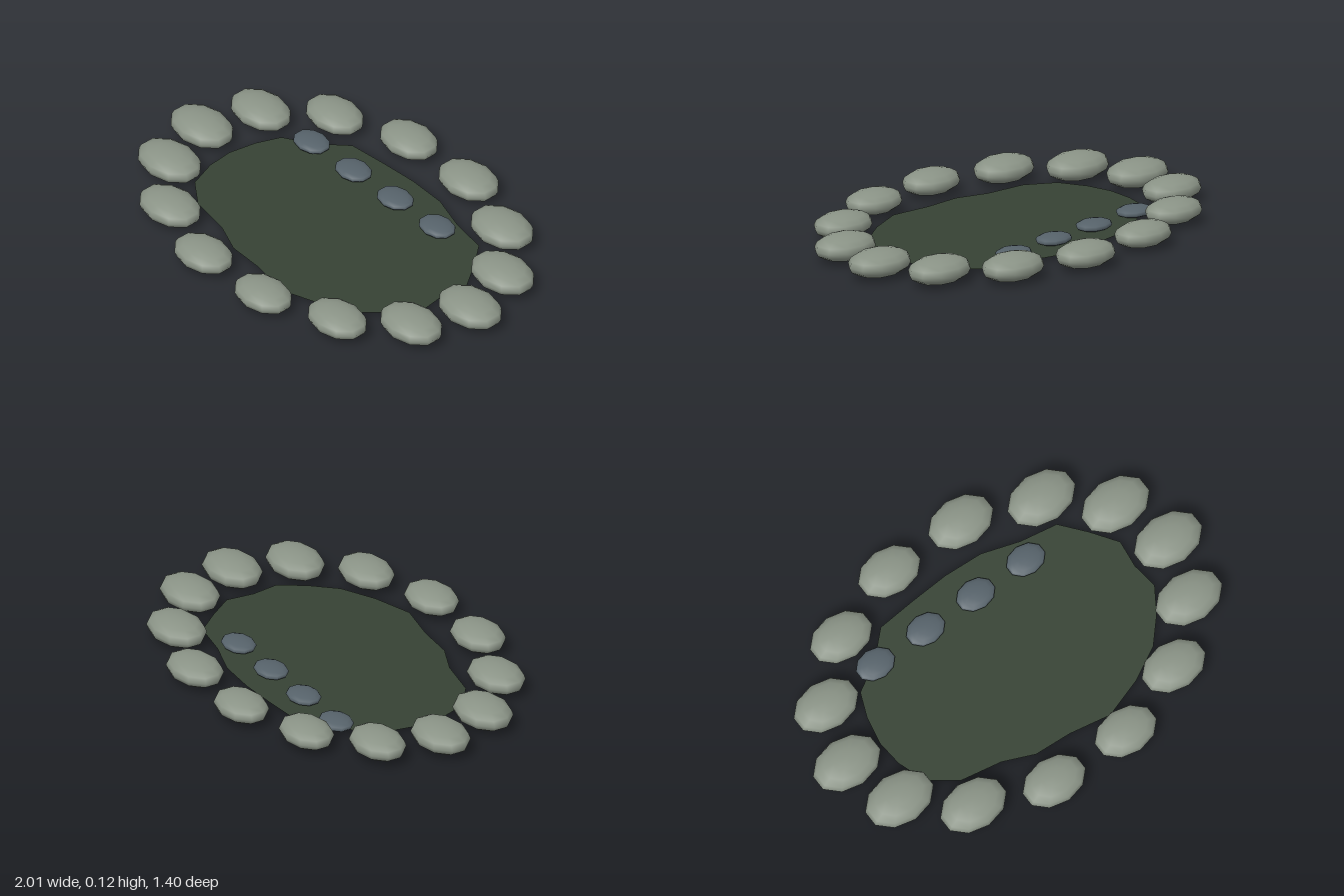
import * as THREE from 'three';

export function createModel() {
  const model = new THREE.Group();
  const stoneGrey = new THREE.MeshStandardMaterial({ color: 0x8a9386 });
  const slateGrey = new THREE.MeshStandardMaterial({ color: 0x56626a });
  const pondGreen = new THREE.MeshStandardMaterial({ color: 0x364234, side: THREE.DoubleSide });

  // Flattened smooth pebble shared by the rim and the stepping stones
  const pebble = new THREE.SphereGeometry(1, 10, 8).rotateY(Math.PI / 2);
  function addStone(name, material, x, y, z, hx, hy, hz) {
    const stone = new THREE.Mesh(pebble, material);
    stone.name = name;
    stone.position.set(x, y, z);
    stone.scale.set(hx / 0.951, hy, hz);
    model.add(stone);
  }

  // Irregular flat water sheet, outline as x, z pairs
  const outline = [
    [0.675, 0], [0.69, 0.12], [0.62, 0.23], [0.52, 0.34], [0.37, 0.42], [0.19, 0.48],
    [0, 0.445], [-0.17, 0.435], [-0.31, 0.375], [-0.5, 0.34], [-0.62, 0.25],
    [-0.665, 0.12], [-0.675, 0], [-0.65, -0.125], [-0.605, -0.235], [-0.475, -0.31],
    [-0.36, -0.42], [-0.18, -0.435], [0, -0.445], [0.18, -0.435], [0.35, -0.38],
    [0.52, -0.35], [0.61, -0.24], [0.69, -0.125],
  ];
  const shape = new THREE.Shape(outline.map(([x, z]) => new THREE.Vector2(x, -z)));
  const water = new THREE.Mesh(new THREE.ShapeGeometry(shape).rotateX(-Math.PI / 2), pondGreen);
  water.name = 'water';
  water.position.y = 0.021;
  model.add(water);

  // Oval ring of rim stones whose size varies gently
  const count = 14;
  for (let i = 0; i < count; i++) {
    const a = (i / count) * Math.PI * 2;
    const s = 1 + 0.05 * Math.cos(i);
    addStone('rimStone', stoneGrey, 0.85 * Math.cos(a), 0.062, 0.605 * Math.sin(a),
      0.147 * s, 0.056 * s, 0.111 * s);
  }

  // Row of small stones lying in the water near the back
  for (let i = 0; i < 4; i++) {
    addStone('waterStone', slateGrey, -0.48 + 0.265 * i, 0.037, -0.295, 0.087, 0.023, 0.07);
  }
  return model;
}
